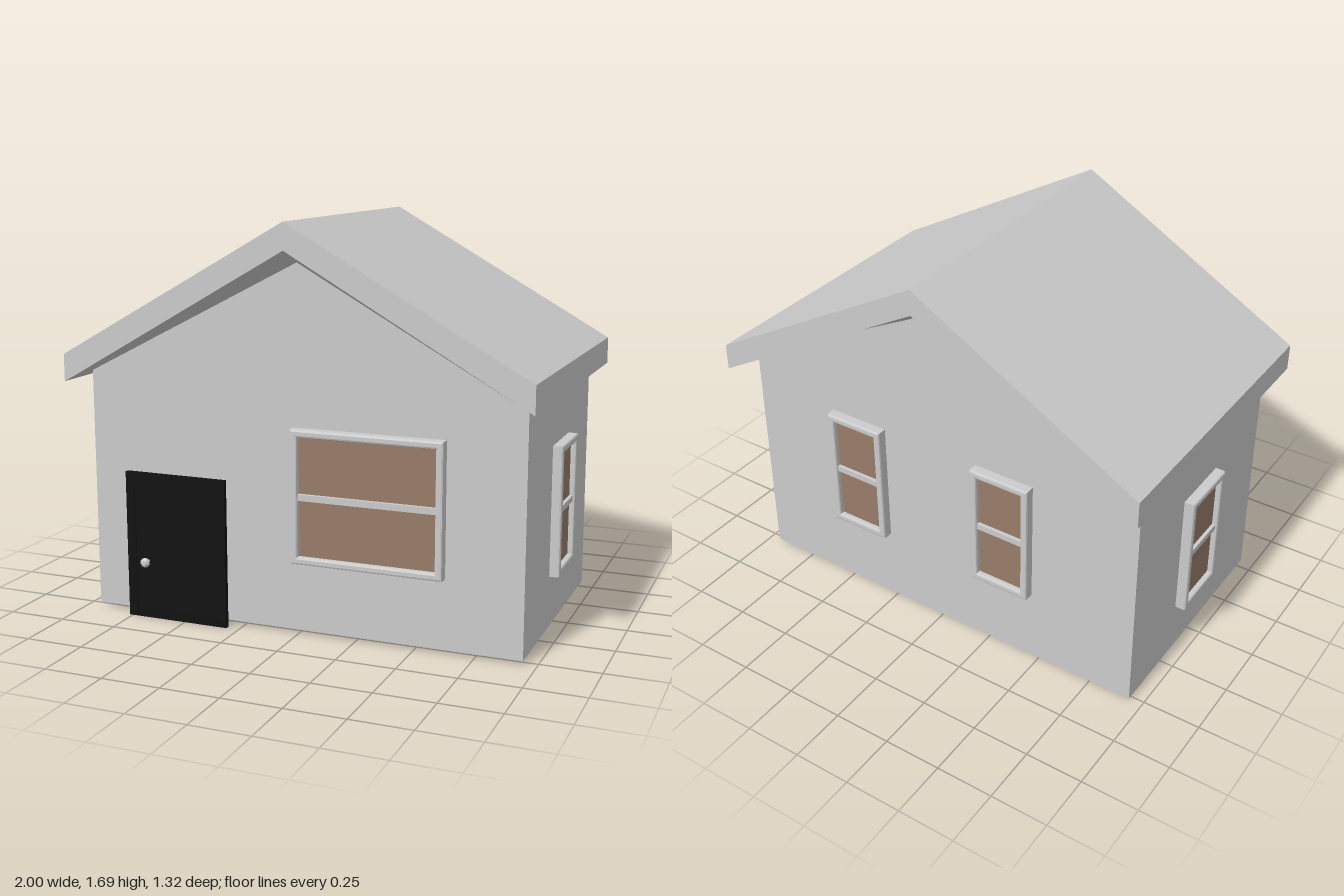
import * as THREE from 'three';

const mat = (color, extra = {}) => new THREE.MeshStandardMaterial({ color, flatShading: true, ...extra });
const grey = mat(0xcccccc);
const glassMat = mat(0x977c69);
const doorMat = mat(0x111111);

function add(parent, name, geometry, material, x = 0, y = 0, z = 0) {
  const mesh = new THREE.Mesh(geometry, material);
  mesh.name = name;
  mesh.position.set(x, y, z);
  parent.add(mesh);
  return mesh;
}

const polygon = (pts) => new THREE.Shape(pts.map(([x, y]) => new THREE.Vector2(x, y)));
const rectangle = (w, h) => [[-w / 2, -h / 2], [w / 2, -h / 2], [w / 2, h / 2], [-w / 2, h / 2]];

// Rectangular ring of the given rim width, with its back at z = 0
function ring(w, h, rim, depth, bevel) {
  const shape = polygon(rectangle(w - 2 * bevel, h - 2 * bevel));
  const inset = 2 * (rim + bevel * 0.6);
  shape.holes.push(polygon(rectangle(w - inset, h - inset)));
  const geometry = new THREE.ExtrudeGeometry(shape, {
    depth: depth - bevel, bevelEnabled: bevel > 0, bevelSize: bevel, bevelThickness: bevel, bevelSegments: 2,
  });
  // flatten the rear bevel against the wall
  const p = geometry.attributes.position;
  for (let i = 0; i < p.count; i++) p.setZ(i, Math.max(0, p.getZ(i)));
  geometry.computeVertexNormals();
  return geometry;
}

// Framed two-pane window facing +z
function makeWindow(name, w, h) {
  const group = new THREE.Group();
  group.name = name;
  const depth = 0.045;
  add(group, 'windowFrame', ring(w, h, 0.018, depth, 0.008), grey);
  add(group, 'glass', new THREE.BoxGeometry(w - 0.02, h - 0.02, 0.018), glassMat, 0, 0, 0.012);
  add(group, 'crossbar', new THREE.BoxGeometry(w - 0.03, 0.026, 0.018), grey, 0, 0, 0.027);
  return group;
}

// Roof slab lofted along z; the soffit drops from the gable edges to the wall top
function makeRoof() {
  const outline = (ridge) => [
    [1, 1.125], [0, 1.69], [-1, 1.125], [-1, 1.01],
    [-0.945, 1.041], [0, ridge], [0.945, 1.041], [1, 1.01],
  ];
  const sections = [[0.66, 1.58], [0.53, 1.525], [-0.53, 1.525], [-0.66, 1.58]];
  const positions = [];
  const index = [];
  for (const [z, ridge] of sections) for (const [x, y] of outline(ridge)) positions.push(x, y, z);
  const n = 8;
  for (let s = 0; s < sections.length - 1; s++) {
    for (let i = 0; i < n; i++) {
      const a = s * n + i, b = s * n + (i + 1) % n, c = a + n, d = b + n;
      index.push(a, c, b, b, c, d);
    }
  }
  // gable ends
  const last = (sections.length - 1) * n;
  const ends = THREE.ShapeUtils.triangulateShape(outline(1.58).map(([x, y]) => new THREE.Vector2(x, y)), []);
  for (const [a, b, c] of ends) index.push(a, b, c, last + c, last + b, last + a);
  const geometry = new THREE.BufferGeometry();
  geometry.setAttribute('position', new THREE.Float32BufferAttribute(positions, 3));
  geometry.setIndex(index);
  const flat = geometry.toNonIndexed();
  flat.computeVertexNormals();
  return flat;
}

export function createModel() {
  const house = new THREE.Group();
  house.name = 'house';

  // Walls with gables
  const wallShape = polygon([[-0.945, 0.015], [0.945, 0.015], [0.945, 1.041], [0, 1.525], [-0.945, 1.065]]);
  add(house, 'walls', new THREE.ExtrudeGeometry(wallShape, { depth: 1.06, bevelEnabled: false }), grey, 0, 0, -0.53);
  add(house, 'roof', makeRoof(), mat(0xcccccc, { side: THREE.DoubleSide }));

  // Windows: name, width, centre x, y, z, turn about y
  const windows = [
    ['frontWindow', 0.635, 0.328, 0.605, 0.595, 0],
    ['backWindowLeft', 0.275, 0.4, 0.62, -0.53, Math.PI],
    ['backWindowRight', 0.275, -0.33, 0.62, -0.53, Math.PI],
    ['leftWindow', 0.28, 0.942, 0.51, -0.013, Math.PI / 2],
    ['rightWindow', 0.28, -0.945, 0.51, -0.013, -Math.PI / 2],
  ];
  for (const [name, w, x, y, z, turn] of windows) {
    const win = makeWindow(name, w, 0.55);
    win.position.set(x, y, z);
    win.rotation.y = turn;
    house.add(win);
  }

  // Door leaf with a slim raised rim, standing just clear of the wall
  const door = new THREE.Group();
  door.name = 'door';
  door.position.set(-0.535, 0.315, 0.57);
  house.add(door);
  add(door, 'doorPanel', new THREE.BoxGeometry(0.45, 0.62, 0.016), doorMat, 0, 0, 0.008);
  add(door, 'doorRim', ring(0.46, 0.63, 0.04, 0.02, 0), doorMat);

  // Door knob on a short stem
  const profile = [[0.008, 0], [0.008, 0.022], [0.02, 0.028], [0.021, 0.036], [0.013, 0.045], [0, 0.047]];
  const knob = new THREE.LatheGeometry(profile.map(([r, h]) => new THREE.Vector2(r, h)), 10);
  knob.rotateX(Math.PI / 2);
  add(door, 'doorKnob', knob, grey, -0.135, -0.067, 0.01);

  return house;
}
